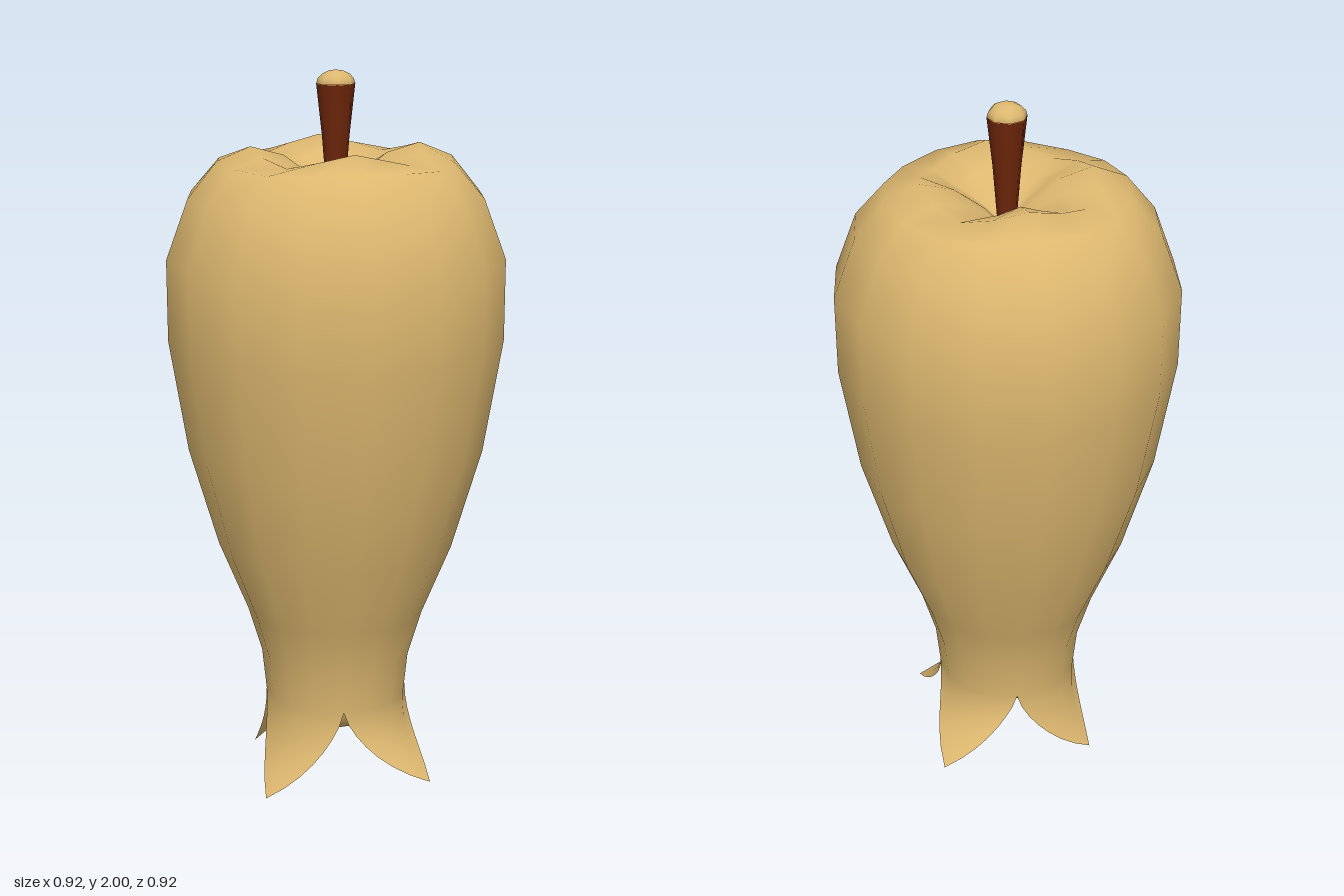
import * as THREE from 'three';
import { mergeGeometries, mergeVertices } from 'three/addons/utils/BufferGeometryUtils.js';

const SIDES = 16;
const TWIST = 0.097;

// Surface patch: fn(i, j) gives a point, i runs to the right, j upwards.
function patch(cols, rows, fn) {
  const pos = [], index = [];
  for (let j = 0; j <= rows; j++) {
    for (let i = 0; i <= cols; i++) pos.push(...fn(i, j));
  }
  for (let j = 0; j < rows; j++) {
    for (let i = 0; i < cols; i++) {
      const a = j * (cols + 1) + i, d = a + cols + 1;
      index.push(a, a + 1, d + 1, a, d + 1, d);
    }
  }
  const g = new THREE.BufferGeometry();
  g.setAttribute('position', new THREE.Float32BufferAttribute(pos, 3));
  g.setIndex(index);
  return g;
}

const polar = (r, angle, y) => [r * Math.sin(angle), y, r * Math.cos(angle)];

// Body rings: radius, height, lobe height, from the skirt up and into the top hollow
const RINGS = [
  [0.20, 0.25, 0], [0.212, 0.37, 0], [0.25, 0.5, 0], [0.33, 0.7, 0], [0.41, 0.98, 0],
  [0.46, 1.29, 0], [0.46, 1.51, 0], [0.40, 1.67, 0], [0.32, 1.762, 0.006],
  [0.23, 1.785, 0.02], [0.14, 1.758, 0.022], [0.06, 1.71, 0.01], [0.015, 1.67, 0],
];

function bodyPatch() {
  return patch(SIDES, RINGS.length - 1, (i, j) => {
    const [r, y, lobe] = RINGS[j];
    const a = ((i % SIDES) / SIDES) * Math.PI * 2;
    const twist = TWIST * THREE.MathUtils.smoothstep(y, 0.25, 1.3);
    return polar(r, a + twist, y + lobe * Math.cos(4 * a));
  });
}

// Curled petal: a quarter of the skirt narrowing to a tip
function petalPatch(quarter, [tx, ty, tz]) {
  const rows = 7;
  const middle = (quarter + 0.5) * Math.PI / 2;
  let shift = Math.atan2(tx, tz) - middle;
  shift = Math.atan2(Math.sin(shift), Math.cos(shift));
  const tipRadius = Math.hypot(tx, tz);
  return patch(4, rows, (i, j) => {
    const v = 1 - j / rows;
    const half = (Math.PI / 4) * (1 - Math.pow(v, 1.25));
    const r = 0.20 + (tipRadius - 0.20) * Math.pow(v, 2.2);
    const y = 0.25 + (ty - 0.25) * Math.pow(v, 0.9);
    return polar(r, middle + shift * v * v + half * (i / 2 - 1), y);
  });
}

export function createModel() {
  const group = new THREE.Group();
  const skin = new THREE.MeshStandardMaterial({ color: 0xdcb76f, side: THREE.DoubleSide });
  skin.name = 'tan skin';
  const wood = new THREE.MeshStandardMaterial({ color: 0x6e260a });
  wood.name = 'brown wood';

  const add = (name, geometry, material, y = 0) => {
    const mesh = new THREE.Mesh(geometry, material);
    mesh.name = name;
    mesh.position.y = y;
    group.add(mesh);
    return mesh;
  };

  // Lobed body joined smoothly to its four petals
  const tips = [
    [0.245, 0.03, 0.21], [0.22, 0.035, -0.235], [-0.225, 0.005, -0.17], [-0.22, 0.0, 0.2],
  ];
  const shell = mergeVertices(mergeGeometries([bodyPatch(), ...tips.map((t, q) => petalPatch(q, t))]), 1e-4);
  shell.computeVertexNormals();
  add('body', shell, skin);

  // Rounded underside between the petals
  const base = add('underside', new THREE.SphereGeometry(0.17, 16, 10), skin, 0.26);
  base.scale.y = 0.72;

  // Stalk with a pale domed end
  const profile = [[0.022, 1.64], [0.03, 1.74], [0.037, 1.83], [0.052, 1.965]];
  add('stem', new THREE.LatheGeometry(profile.map(([r, y]) => new THREE.Vector2(r, y)), 8), wood);
  const cap = add('stemCap', new THREE.SphereGeometry(0.052, 8, 4, 0, Math.PI * 2, 0, Math.PI / 2), skin, 1.963);
  cap.scale.y = 0.71;

  return group;
}
